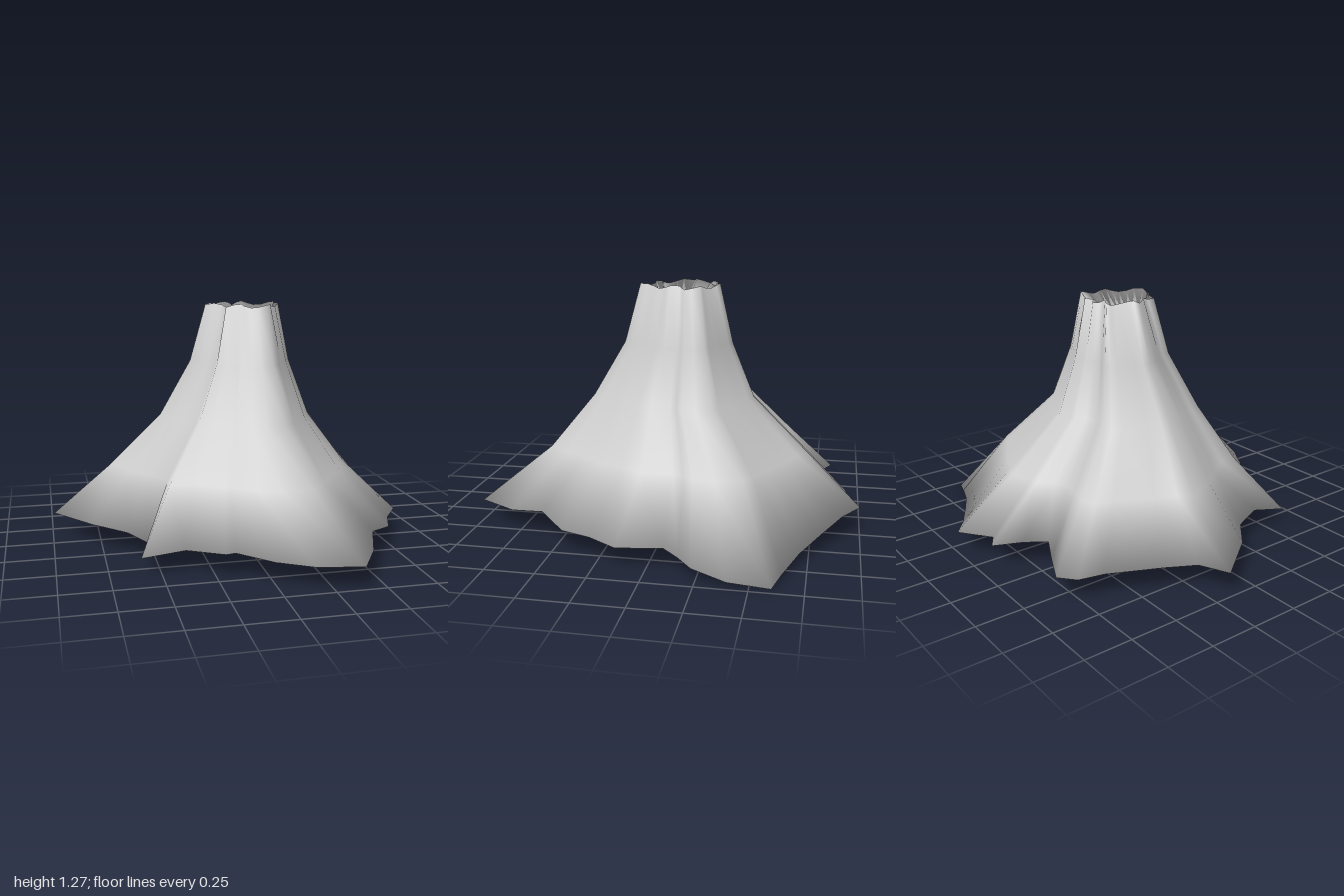
import * as THREE from 'three';

// Ragged foot of the mountain: x, y, z, running left -> back -> right -> front
const FOOT = [
  [-0.99, 0.12, -0.16], [-0.84, 0.12, -0.23], [-0.76, 0.12, -0.38], [-0.64, 0.12, -0.64],
  [-0.61, 0.12, -0.77], [-0.53, 0.12, -0.84], [-0.36, 0.12, -0.76], [-0.22, 0.13, -0.69],
  [-0.15, 0.13, -0.79], [-0.07, 0.12, -0.93], [0.01, 0.12, -0.88], [0.17, 0.12, -1.0],
  [0.29, 0.11, -0.91], [0.47, 0.08, -0.81], [0.66, 0.05, -0.71], [0.84, 0.02, -0.64],
  [0.96, 0.0, -0.6], [0.99, 0.03, -0.4], [0.94, 0.06, -0.23], [0.88, 0.08, -0.16],
  [0.83, 0.1, -0.08], [0.89, 0.11, 0.14], [0.79, 0.11, 0.29], [0.73, 0.11, 0.45],
  [0.58, 0.14, 0.6], [0.51, 0.11, 0.79], [0.39, 0.11, 1.0], [0.16, 0.11, 0.95],
  [0.0, 0.11, 0.85], [-0.16, 0.12, 0.71], [-0.21, 0.12, 0.72], [-0.38, 0.11, 0.59],
  [-0.6, 0.09, 0.6], [-0.55, 0.11, 0.43], [-0.63, 0.11, 0.25], [-0.8, 0.12, 0.1],
];
const N = FOOT.length;
const RADIUS = FOOT.map(([x, , z]) => Math.hypot(x, z));

// Rings above the foot; soft evens out the folds, ripple makes the rim uneven
const RINGS = [
  { x: -0.02, y: 0.39, z: -0.02, scale: 0.71, soft: 0.4, ripple: 0 },
  { x: 0, y: 0.67, z: 0.01, scale: 0.448, soft: 0.5, ripple: 0 },
  { x: 0.035, y: 0.96, z: -0.02, scale: 0.295, soft: 0.4, ripple: 0 },
  { x: 0.052, y: 1.26, z: -0.03, scale: 0.207, soft: 0, ripple: 0.01 }, // crater rim
  { x: 0.055, y: 1.15, z: -0.01, scale: 0.14, soft: 0, ripple: 0 },     // inside the crater
];
const CRATER_FLOOR = [0.06, 1.08, 0.01];
const BASE_CENTRE = [0, 0.11, 0];

// Foot point i carried up to a ring, its radius blended with that of its neighbours
function ringPoint(i, { x, y, z, scale, soft, ripple }) {
  let mean = 0;
  for (let k = -2; k <= 2; k++) mean += RADIUS[(i + k + N) % N] / 5;
  const s = scale * THREE.MathUtils.lerp(1, mean / RADIUS[i], soft);
  return [x + s * FOOT[i][0], y + ripple * Math.sin(i * 1.3), z + s * FOOT[i][2]];
}

function mountainGeometry() {
  const positions = FOOT.flat();
  for (const ring of RINGS) {
    for (let i = 0; i < N; i++) positions.push(...ringPoint(i, ring));
  }
  const floor = positions.length / 3;
  const base = floor + 1;
  positions.push(...CRATER_FLOOR, ...BASE_CENTRE);

  // Slopes, over the rim and down to the crater floor
  const index = [];
  for (let i = 0; i < N; i++) {
    const next = (i + 1) % N;
    for (let r = 0; r < RINGS.length; r++) {
      const a = r * N + i;
      const b = r * N + next;
      index.push(a, a + N, b + N, a, b + N, b);
    }
    const last = RINGS.length * N;
    index.push(last + i, floor, last + next);
  }

  const geometry = new THREE.BufferGeometry();
  geometry.setAttribute('position', new THREE.Float32BufferAttribute(positions, 3));
  geometry.setIndex(index);
  geometry.computeVertexNormals();

  // Underside, shaded smoothly around the foot into the slopes
  const normals = geometry.attributes.normal;
  const n = new THREE.Vector3();
  for (let i = 0; i < N; i++) {
    index.push(i, (i + 1) % N, base);
    n.fromBufferAttribute(normals, i);
    n.y -= 1;
    n.normalize();
    normals.setXYZ(i, n.x, n.y, n.z);
  }
  normals.setXYZ(base, 0, -1, 0);
  geometry.setIndex(index);
  return geometry;
}

export function createModel() {
  const group = new THREE.Group();
  group.name = 'volcano';
  const material = new THREE.MeshStandardMaterial({ color: 0xcccccc, side: THREE.DoubleSide });
  const mountain = new THREE.Mesh(mountainGeometry(), material);
  mountain.name = 'mountain';
  group.add(mountain);
  return group;
}
